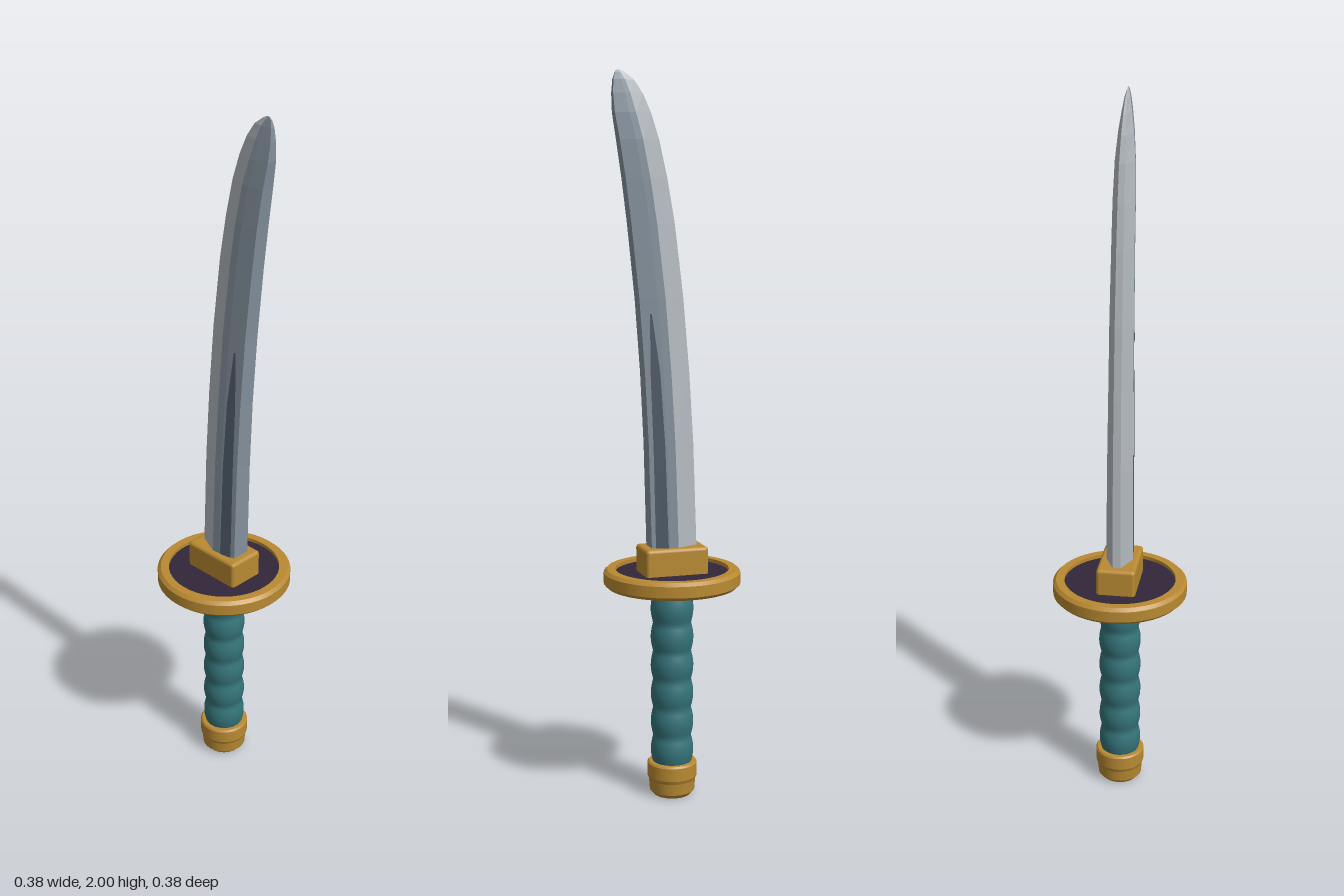
import * as THREE from 'three';
import { RoundedBoxGeometry } from 'three/addons/geometries/RoundedBoxGeometry.js';

const mat = (name, color, extra = {}) => {
  const m = new THREE.MeshStandardMaterial({ color, ...extra });
  m.name = name;
  return m;
};

export function createModel() {
  const group = new THREE.Group();
  const gold = mat('gold', 0xb98a32);
  const plum = mat('dark plum', 0x32263a);
  const teal = mat('teal wrap', 0x35747a);
  const edgeSteel = mat('edge steel', 0xb4bac0);
  const bodySteel = mat('body steel', 0x85929e);
  const grooveSteel = mat('groove steel', 0x4f5b69, { side: THREE.DoubleSide });

  const add = (name, geometry, material, y = 0) => {
    const mesh = new THREE.Mesh(geometry, material);
    mesh.name = name;
    mesh.position.y = y;
    group.add(mesh);
    return mesh;
  };
  // Lathe with hard edges between the profile segments
  const lathe = (points, sides = 40) => {
    const pts = [];
    points.forEach(([r, y], i) => {
      const p = new THREE.Vector2(r, y);
      pts.push(p);
      if (i > 0 && i < points.length - 1) pts.push(p.clone());
    });
    return new THREE.LatheGeometry(pts, sides);
  };

  // Pommel
  add('pommel', lathe([[0, 0], [0.052, 0], [0.063, 0.012], [0.066, 0.045], [0.07, 0.055],
    [0.07, 0.092], [0.066, 0.097], [0, 0.097]], 32), gold);

  // Grip with rippled wrap
  const grip = [];
  const steps = 60;
  for (let i = 0; i <= steps; i++) {
    const t = i / steps;
    grip.push(new THREE.Vector2(0.053 + 0.007 * Math.abs(Math.sin(t * Math.PI * 6.5)), 0.09 + t * 0.53));
  }
  add('grip', new THREE.LatheGeometry(grip, 28), teal);

  // Round guard: rim, inset plate and washer under it
  add('guardRim', lathe([[0.158, 0.603], [0.181, 0.603], [0.19, 0.612], [0.19, 0.643],
    [0.181, 0.652], [0.158, 0.652], [0.158, 0.603]], 48), gold);
  add('guardPlate', new THREE.CylinderGeometry(0.16, 0.16, 0.028, 48), plum, 0.6275);
  add('guardWasher', new THREE.CylinderGeometry(0.075, 0.075, 0.02, 32), gold, 0.612);
  add('bladeCollar', new RoundedBoxGeometry(0.18, 0.085, 0.11, 2, 0.01), gold, 0.674);

  // Blade stations: y, cutting edge x, spine x, half thickness
  const stations = [
    [0.7, -0.068, 0.066, 0.038], [1.0, -0.058, 0.074, 0.036], [1.2, -0.046, 0.084, 0.034],
    [1.4, -0.029, 0.099, 0.033], [1.6, -0.005, 0.12, 0.031], [1.72, 0.016, 0.135, 0.03],
    [1.82, 0.038, 0.15, 0.027], [1.89, 0.06, 0.162, 0.021], [1.94, 0.082, 0.165, 0.014],
    [1.975, 0.106, 0.163, 0.008], [1.993, 0.13, 0.158, 0.003], [2.0, 0.142, 0.152, 0.0005],
  ];
  // Half section: fraction from edge to spine, fraction of half thickness
  const half = [[0, 0.3], [0.45, 1], [0.62, 0.96], [1, 0.7]];
  const section = [...half, ...half.slice().reverse().map(([t, z]) => [t, -z])];
  const at = ([y, x0, x1, h], [t, z]) => [x0 + (x1 - x0) * t, y, h * z];

  // Skin a list of rings with flat faces over the chosen sides
  const skin = (rings, sides) => {
    const pos = [];
    for (let i = 0; i < rings.length - 1; i++) {
      for (const k of sides) {
        const n = (k + 1) % rings[i].length;
        const a = rings[i][k], b = rings[i][n], c = rings[i + 1][n], d = rings[i + 1][k];
        pos.push(...a, ...b, ...c, ...a, ...c, ...d);
      }
    }
    const g = new THREE.BufferGeometry();
    g.setAttribute('position', new THREE.Float32BufferAttribute(pos, 3));
    g.computeVertexNormals();
    return g;
  };
  const rings = stations.map((s) => section.map((p) => at(s, p)));
  add('bladeEdge', skin(rings, [0, 6, 7]), edgeSteel);
  add('bladeBody', skin(rings, [1, 2, 3, 4, 5]), bodySteel);

  // Thin groove strips along both flanks, narrowing to a point
  const grooveStations = [...stations.slice(0, 3), [1.36, -0.033, 0.096, 0.0332]];
  for (const side of [1, -1]) {
    const strip = grooveStations.map((s, i) => {
      const w = [0.13, 0.12, 0.1, 0.02][i];
      return [0.79 - w, 0.79 + w].map((t) => {
        const z = 0.96 - (0.26 * (t - 0.62)) / 0.38;
        const p = at(s, [t, z]);
        return [p[0], p[1], side * (p[2] + 0.002)];
      });
    });
    if (side < 0) strip.forEach((r) => r.reverse());
    add(side > 0 ? 'frontGroove' : 'backGroove', skin(strip, [0]), grooveSteel);
  }
  return group;
}
